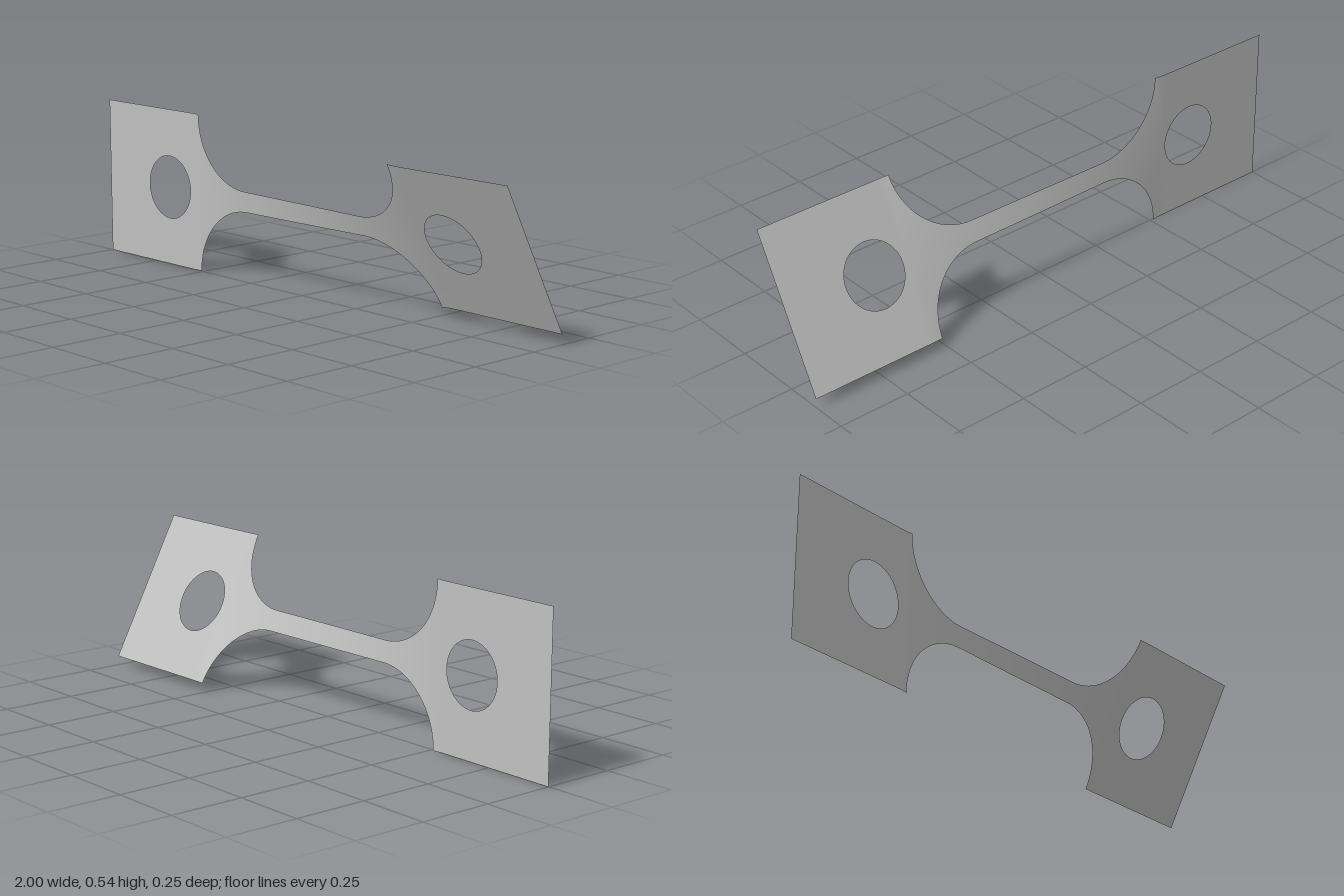
import * as THREE from 'three';

const HALF_H = 0.271;      // half height of the end tabs, also the mid-line height
const NECK_H = 0.036;      // half height of the slim neck
const TAB_X = 0.51;        // where a tab meets its fillet
const FILLET = HALF_H - NECK_H;
const HOLE_X = 0.67, HOLE_R = 0.109;
const TWIST_START = THREE.MathUtils.degToRad(0.4);
const TWIST_END = THREE.MathUtils.degToRad(28);

// Twist a flat point about the long axis; the turn grows along x between the tabs
function twist(x, y) {
  const t = THREE.MathUtils.clamp((x + 0.54) / 1.08, 0, 1);
  const a = THREE.MathUtils.lerp(TWIST_START, TWIST_END, t);
  return [x, HALF_H + y * Math.cos(a), y * Math.sin(a)];
}

// Sheet patch: rule maps (u, v) to a flat point, which is then twisted
function sheet(name, nu, nv, rule, material) {
  const geo = new THREE.PlaneGeometry(1, 1, nu, nv);
  const pos = geo.attributes.position;
  for (let i = 0; i < pos.count; i++) {
    const [x, y] = rule(pos.getX(i) + 0.5, pos.getY(i) + 0.5);
    pos.setXYZ(i, ...twist(x, y));
  }
  geo.computeVertexNormals();
  const mesh = new THREE.Mesh(geo, material);
  mesh.name = name;
  return mesh;
}

// Rectangular tab as a ring running from its border (v = 0) to its hole (v = 1)
function tab(name, x0, x1, holeX, material) {
  const corners = [[x1, -HALF_H], [x1, HALF_H], [x0, HALF_H], [x0, -HALF_H]];
  return sheet(name, 96, 8, (u, v) => {
    const s = (u * 4) % 4;
    const k = Math.floor(s + 1e-6) % 4;
    const f = Math.max(0, s - Math.floor(s + 1e-6));
    const a = corners[k], b = corners[(k + 1) % 4];
    const bx = a[0] + (b[0] - a[0]) * f, by = a[1] + (b[1] - a[1]) * f;
    const ang = Math.atan2(by, bx - holeX);
    const hx = holeX + HOLE_R * Math.cos(ang), hy = HOLE_R * Math.sin(ang);
    return [bx + (hx - bx) * v, by + (hy - by) * v];
  }, material);
}

export function createModel() {
  const group = new THREE.Group();
  group.name = 'twistedTestStrip';
  const metal = new THREE.MeshStandardMaterial({ color: 0xc0c0c0 });
  metal.name = 'light grey metal';
  metal.side = THREE.DoubleSide;

  // End tabs with round holes
  group.add(tab('rightTab', -1, -TAB_X, -HOLE_X, metal));
  group.add(tab('leftTab', TAB_X, 1, HOLE_X, metal));

  // Neck outline: quarter-circle fillet, straight bar, mirrored fillet
  const inner = TAB_X - FILLET;
  const outline = [];
  for (let i = 0; i <= 28; i++) {
    const a = (i / 28) * Math.PI / 2;
    outline.push([-inner - FILLET * Math.cos(a), HALF_H - FILLET * Math.sin(a)]);
  }
  for (let i = 1; i < 20; i++) outline.push([-inner + 2 * inner * i / 20, NECK_H]);
  for (let i = 28; i >= 0; i--) outline.push([-outline[i][0], outline[i][1]]);

  const last = outline.length - 1;
  group.add(sheet('neck', last, 12, (u, v) => {
    const [x, h] = outline[Math.round(u * last)];
    return [x, (2 * v - 1) * h];
  }, metal));

  return group;
}
